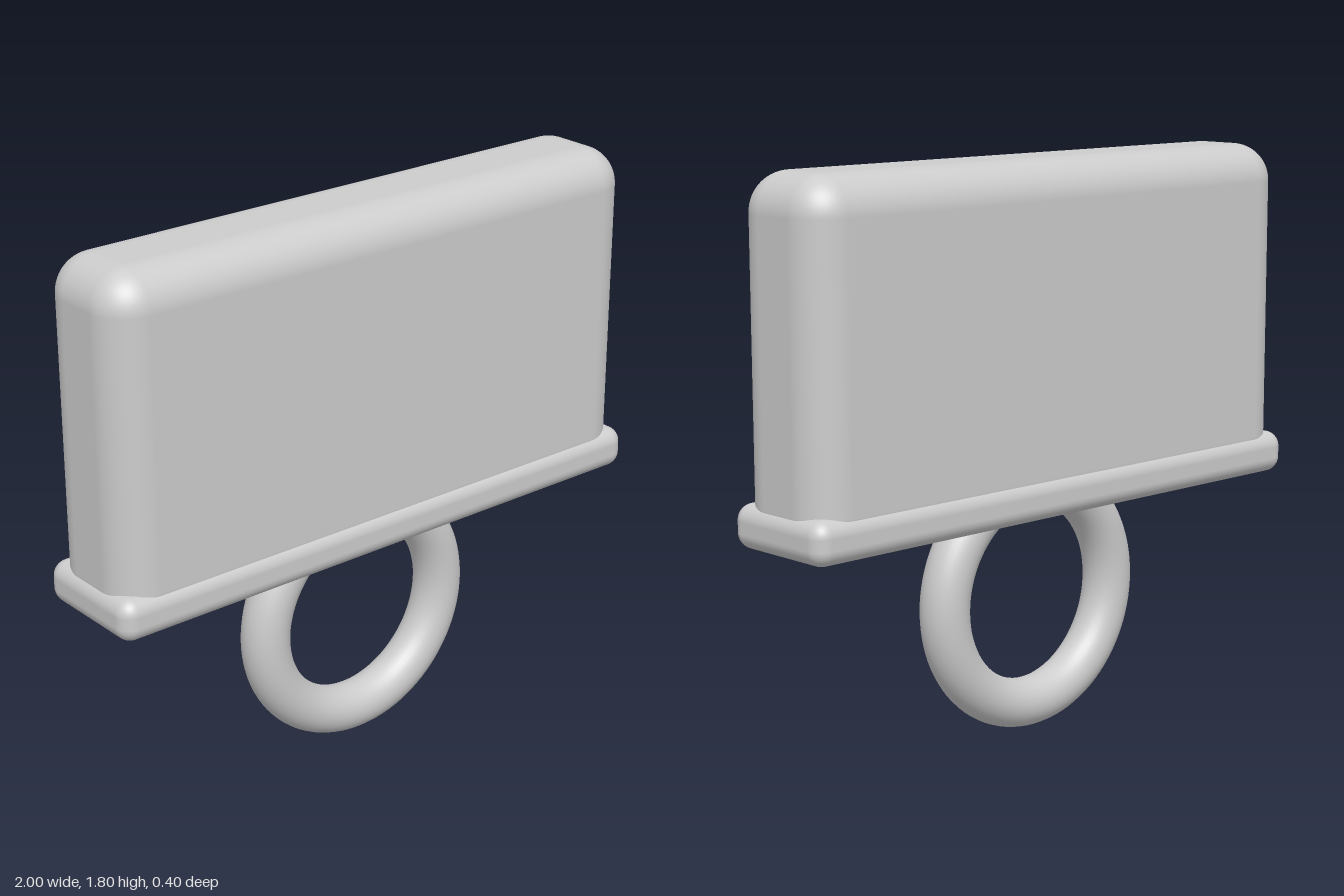
import * as THREE from 'three';
import { RoundedBoxGeometry } from 'three/addons/geometries/RoundedBoxGeometry.js';

export function createModel() {
  const model = new THREE.Group();
  const material = new THREE.MeshStandardMaterial({ color: 0xcccccc });

  const add = (name, geometry, y) => {
    const mesh = new THREE.Mesh(geometry, material);
    mesh.name = name;
    mesh.position.y = y;
    model.add(mesh);
  };

  // Rounded block between two heights
  const block = (name, width, depth, bottom, top, radius) =>
    add(name, new RoundedBoxGeometry(width, top - bottom, depth, 8, radius), (bottom + top) / 2);

  // Tall slab, its lower rounding buried in the rim
  block('body', 1.965, 0.37, 0.715, 1.795, 0.12);

  // Slightly wider rim around the foot of the slab
  block('rim', 2, 0.4, 0.705, 0.84, 0.05);

  // Hanging ring, its top sunk into the rim
  add('ring', new THREE.TorusGeometry(0.353, 0.077, 32, 96), 0.43);

  return model;
}
